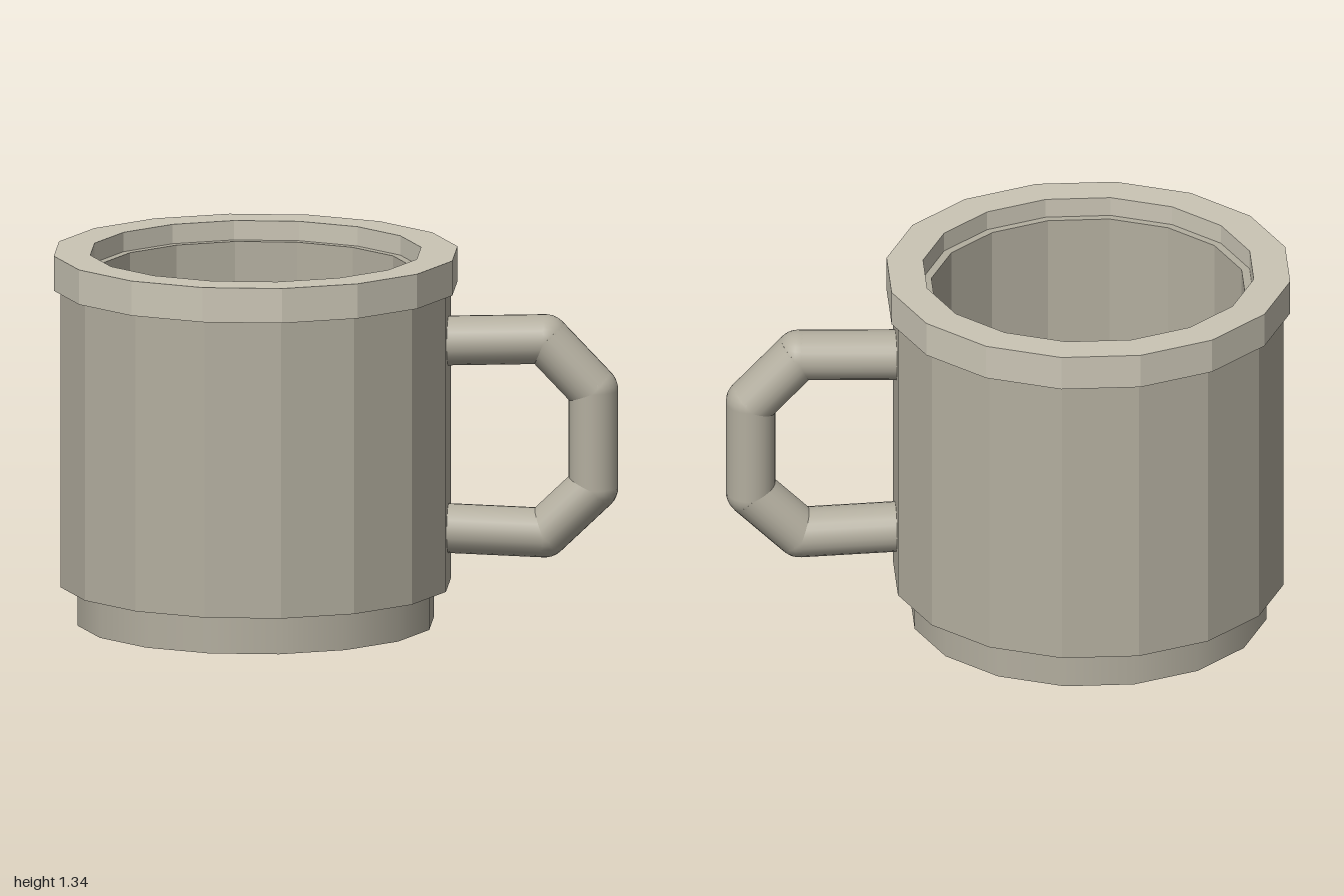
import * as THREE from 'three';

const SIDES = 16;
const K = 1 / Math.cos(Math.PI / SIDES); // flat-to-flat radius -> corner radius
const CENTRE_X = -0.293;

export function createModel() {
  const group = new THREE.Group();
  const clay = new THREE.MeshStandardMaterial({ color: 0xb3ae9f });
  const clayFlat = new THREE.MeshStandardMaterial({ color: 0xb3ae9f, flatShading: true });
  const rimMat = new THREE.MeshStandardMaterial({ color: 0xcac5b5, flatShading: true });

  const add = (name, geometry, material, parent = group) => {
    const mesh = new THREE.Mesh(geometry, material);
    mesh.name = name;
    parent.add(mesh);
    return mesh;
  };

  // Faceted ring or vessel from a profile of [flat radius, height]
  const turned = (name, profile, material) => {
    const pts = profile.map(([r, y]) => new THREE.Vector2(r * K, y));
    add(name, new THREE.LatheGeometry(pts, SIDES, Math.PI / SIDES), material).position.x = CENTRE_X;
  };

  // Hollow cup: underside, outer wall, lip, inner wall, floor
  turned('cupBody', [[0, 0.14], [0.685, 0.14], [0.685, 1.265], [0.551, 1.265], [0.551, 0.25], [0, 0.25]], clayFlat);

  // Overhanging band around the mouth
  turned('rim', [[0.58, 1.21], [0.708, 1.21], [0.708, 1.335], [0.58, 1.335], [0.58, 1.21]], rimMat);

  // Narrower foot
  const foot = new THREE.CylinderGeometry(0.625 * K, 0.625 * K, 0.15, SIDES, 1, false, Math.PI / SIDES);
  add('foot', foot, clay).position.set(CENTRE_X, 0.075, 0);

  // Handle: straight rods with ball joints, slightly wider in z
  const handle = new THREE.Group();
  handle.name = 'handle';
  handle.scale.z = 1.1;
  group.add(handle);
  const R = 0.088;
  const path = [[0.3, 1.019], [0.735, 1.031], [0.907, 0.85], [0.907, 0.5], [0.733, 0.333], [0.3, 0.348]]
    .map(([x, y]) => new THREE.Vector3(x, y, 0));
  const up = new THREE.Vector3(0, 1, 0);
  for (let i = 0; i < path.length - 1; i++) {
    const dir = path[i + 1].clone().sub(path[i]);
    const rod = add('handleRod', new THREE.CylinderGeometry(R, R, dir.length(), 24), clay, handle);
    rod.position.copy(path[i]).addScaledVector(dir, 0.5);
    rod.quaternion.setFromUnitVectors(up, dir.normalize());
    if (i > 0) add('handleJoint', new THREE.SphereGeometry(R, 24, 16), clay, handle).position.copy(path[i]);
  }

  return group;
}
